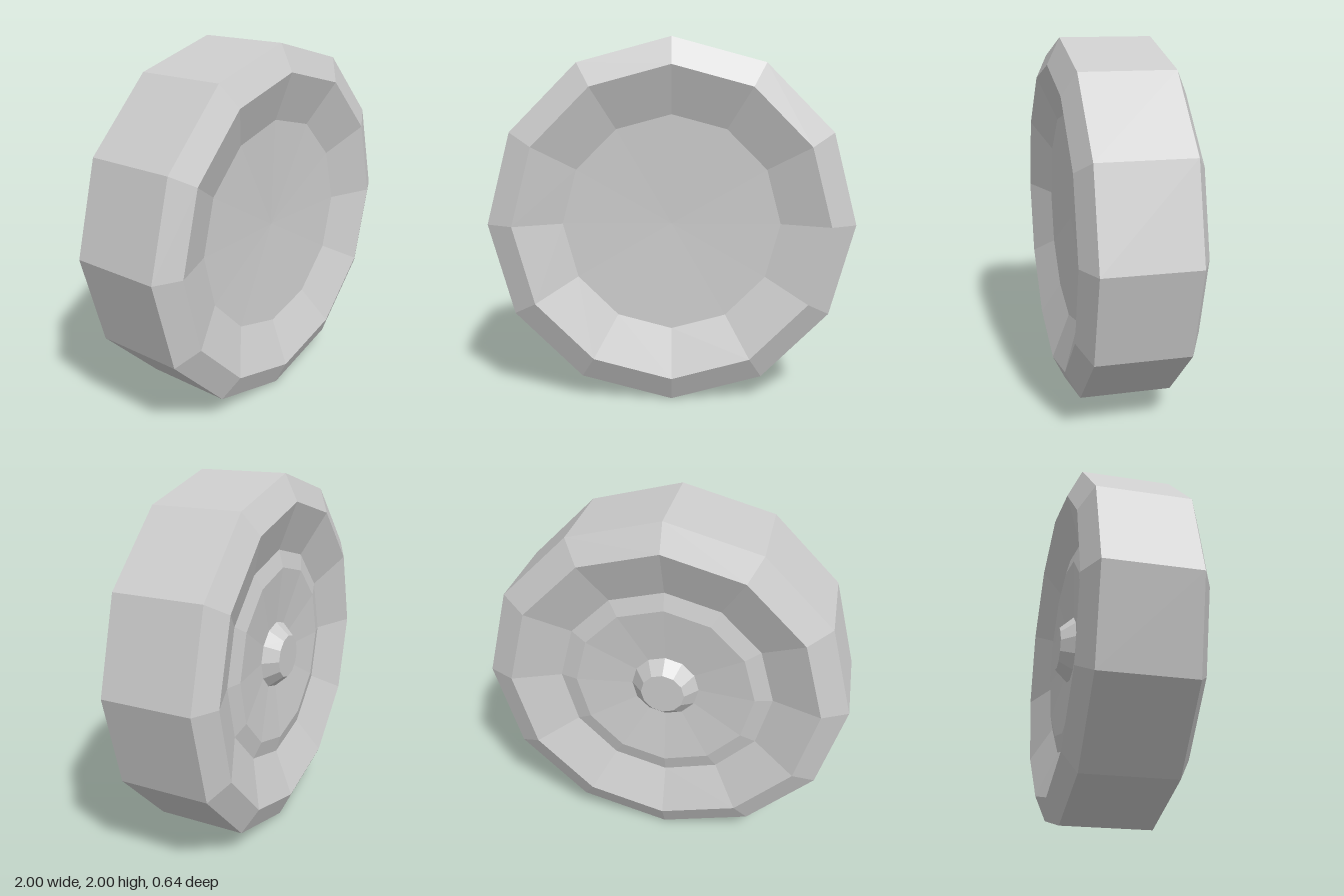
import * as THREE from 'three';

const SIDES = 12;

export function createModel() {
  const grey = new THREE.MeshStandardMaterial({ color: 0xcccccc, flatShading: true });
  grey.name = 'grey';

  const wheel = new THREE.Group();
  wheel.name = 'wheel';

  // Profiles are [radius, z] pairs running from the back round to the front
  function addRing(name, profile) {
    const points = profile.map(([r, z]) => new THREE.Vector2(r, z));
    const geometry = new THREE.LatheGeometry(points, SIDES);
    geometry.rotateX(Math.PI / 2);
    const mesh = new THREE.Mesh(geometry, grey);
    mesh.name = name;
    wheel.add(mesh);
  }

  // Tapered hub cap in the middle of the back
  addRing('hub', [[0, -0.285], [0.12, -0.285], [0.187, -0.21]]);

  // Slightly dished back plate with a sloping rim
  addRing('backPlate', [[0.187, -0.21], [0.5, -0.245], [0.595, -0.22]]);

  // Tyre: sloping side walls, bevelled shoulders and a flat tread
  addRing('tyre', [
    [0.595, -0.22], [0.857, -0.32], [1, -0.25],
    [1, 0.25], [0.857, 0.32], [0.595, 0.22],
  ]);

  // Shallow dish closing the front
  addRing('frontPlate', [[0.595, 0.22], [0, 0.2]]);

  wheel.position.y = 1;
  const model = new THREE.Group();
  model.name = 'model';
  model.add(wheel);
  return model;
}
